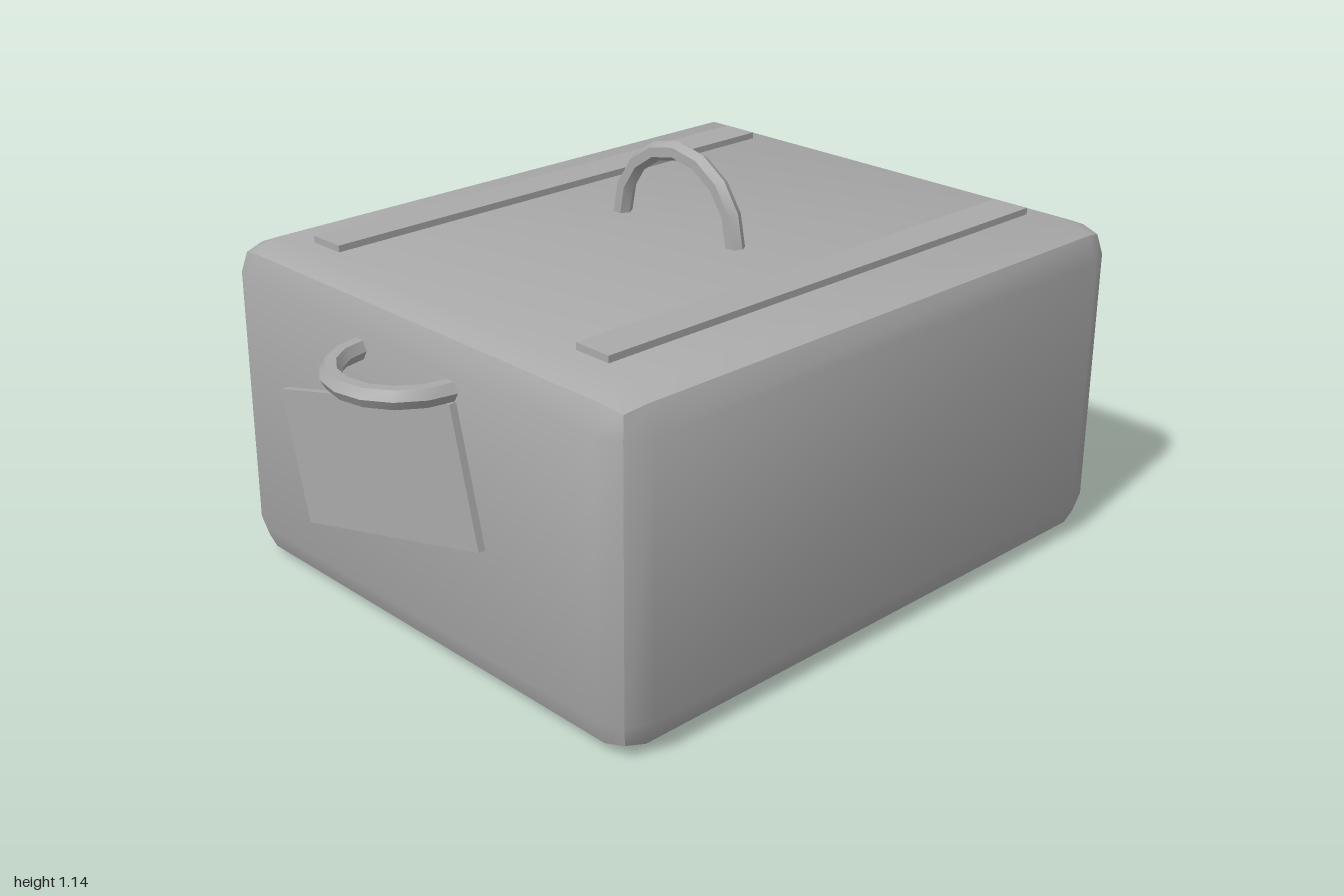
import * as THREE from 'three';
import { RoundedBoxGeometry } from 'three/addons/geometries/RoundedBoxGeometry.js';
import { toCreasedNormals } from 'three/addons/utils/BufferGeometryUtils.js';

export function createModel() {
  const model = new THREE.Group();
  const grey = new THREE.MeshStandardMaterial({ color: 0xaaaaaa });
  grey.name = 'plain grey';

  function add(name, geometry, x, y, z) {
    const mesh = new THREE.Mesh(geometry, grey);
    mesh.name = name;
    mesh.position.set(x, y, z);
    model.add(mesh);
    return mesh;
  }

  // Case with two-step rounded edges, creased along the middle of each edge
  const caseGeometry = new RoundedBoxGeometry(1.515, 0.9, 1.8, 1, 0.095);
  add('case', toCreasedNormals(caseGeometry, 0.6), 0.0175, 0.45, -0.1);

  // Half-ring handles with a six-sided section and closed ends
  function addHandle(name, radius, tube, x, y, z) {
    const ring = new THREE.TorusGeometry(radius, tube, 6, 8, Math.PI);
    return add(name, toCreasedNormals(ring, 0.6), x, y, z);
  }
  addHandle('topHandle', 0.21, 0.026, 0.0175, 0.9, -0.1);
  addHandle('frontHandle', 0.177, 0.028, 0.0175, 0.76, 0.795).rotation.x = Math.PI / 2;

  // Two long straps on the lid
  for (const side of [-1, 1]) {
    const name = side > 0 ? 'leftStrap' : 'rightStrap';
    add(name, new THREE.BoxGeometry(0.108, 0.03, 1.515), 0.016 + side * 0.505, 0.903, -0.1025);
  }

  // Tilted label on the front
  const frontLabel = add('frontLabel', new THREE.BoxGeometry(0.723, 0.36, 0.03), -0.0925, 0.472, 0.805);
  frontLabel.rotation.z = 0.251;

  // Tilted label on the right side
  const sideLabel = add('sideLabel', new THREE.BoxGeometry(0.045, 0.179, 0.58), -0.7575, 0.455, -0.39);
  sideLabel.rotation.x = 0.35;

  return model;
}
